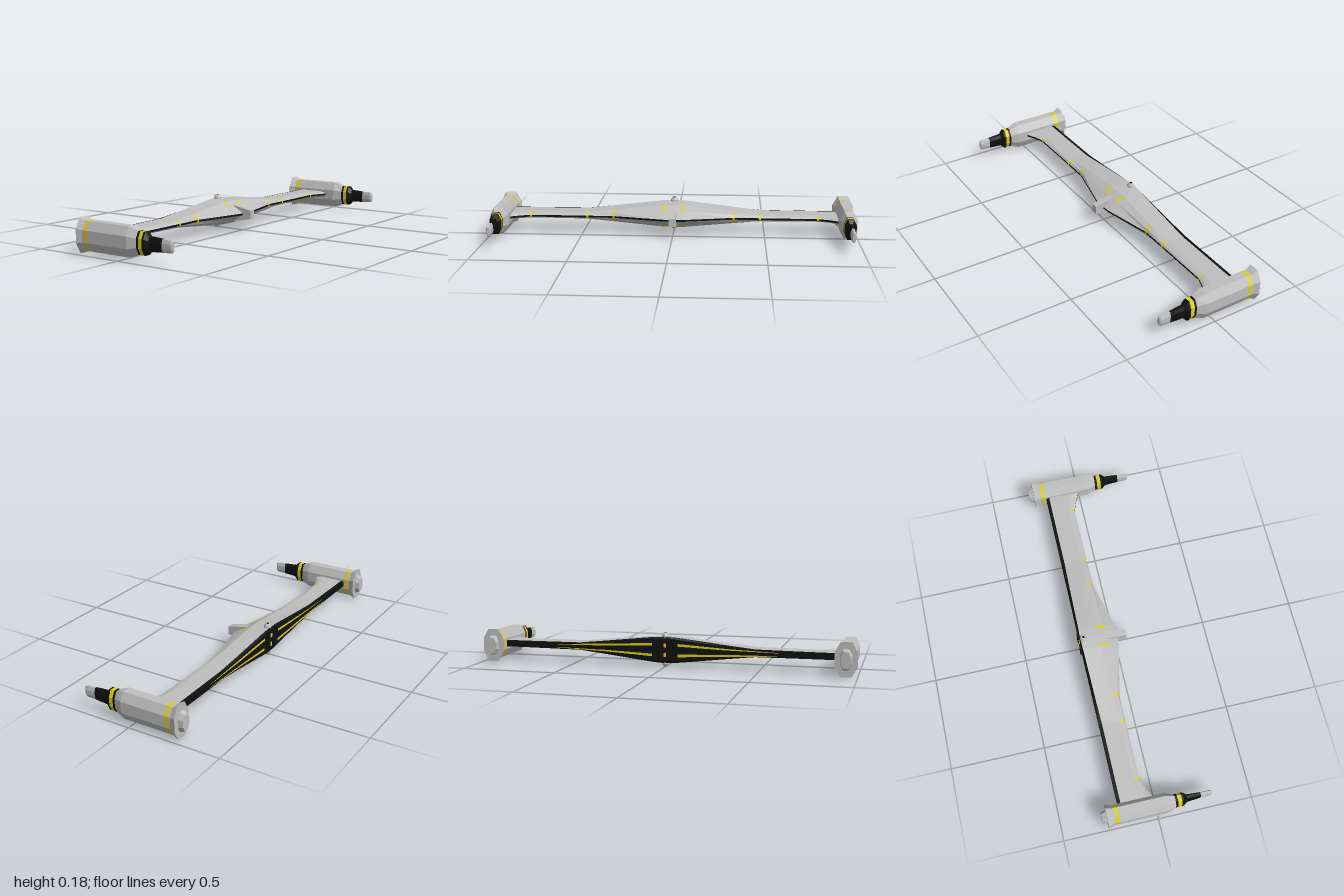
import * as THREE from 'three';

const MID = 0.09; // height of the horizontal symmetry plane
const mat = (name, color) => {
  const m = new THREE.MeshStandardMaterial({ color, flatShading: true });
  m.name = name;
  return m;
};

export function createModel() {
  const root = new THREE.Group();
  root.name = 'twinPodWing';
  const M = {
    grey: mat('hull grey', 0xbebebe),
    black: mat('trim black', 0x101010),
    yellow: mat('marking yellow', 0xdbd00e),
  };

  // Collects faces per colour and turns each colour into one mesh
  const builder = () => {
    const lists = { grey: [], black: [], yellow: [] };
    const face = (color, pts) => {
      for (let i = 1; i < pts.length - 1; i++)
        lists[color].push(...pts[0], ...pts[i], ...pts[i + 1]);
    };
    const strip = (a, b, colorOf) => a.forEach((p, i) => {
      const j = (i + 1) % a.length;
      face(colorOf(i), [p, a[j], b[j], b[i]]);
    });
    const finish = (name) => {
      const g = new THREE.Group();
      g.name = name;
      for (const c in lists) {
        if (!lists[c].length) continue;
        const geo = new THREE.BufferGeometry();
        geo.setAttribute('position', new THREE.Float32BufferAttribute(lists[c], 3));
        geo.computeVertexNormals();
        const mesh = new THREE.Mesh(geo, M[c]);
        mesh.name = `${name} ${c}`;
        g.add(mesh);
      }
      return g;
    };
    return { face, strip, finish };
  };

  // End pods: elongated octagons lofted from back to front (z, half width, half height, colour)
  const podSections = [
    [-0.288, 0.025, 0.042, 'grey'], [-0.262, 0.03, 0.053, 'grey'],
    [-0.262, 0.057, 0.088, 'grey'], [-0.232, 0.047, 0.073, 'grey'],
    [-0.22, 0.047, 0.073, 'yellow'], [-0.202, 0.047, 0.073, 'grey'],
    [0.048, 0.047, 0.073, 'grey'], [0.095, 0.031, 0.055, 'black'],
    [0.107, 0.031, 0.055, 'yellow'], [0.128, 0.031, 0.055, 'black'],
    [0.138, 0.031, 0.055, 'black'], [0.157, 0.017, 0.035, 'black'],
    [0.23, 0.012, 0.031, 'grey'], [0.282, 0.012, 0.029, 'grey'],
    [0.29, 0.007, 0.023, 'grey'],
  ];
  const octagon = ([z, w, h]) =>
    [[1, -0.41], [1, 0.41], [0.5, 1], [-0.5, 1], [-1, 0.41], [-1, -0.41], [-0.5, -1], [0.5, -1]]
      .map(([x, y]) => [x * w, y * h, z]);
  for (const side of [-1, 1]) {
    const b = builder();
    const rings = podSections.map(octagon);
    for (let k = 0; k < rings.length - 1; k++) b.strip(rings[k], rings[k + 1], () => podSections[k][3]);
    b.face('grey', [...rings[0]].reverse());
    b.face('grey', rings[rings.length - 1]);
    const pod = b.finish(side > 0 ? 'leftPod' : 'rightPod');
    pod.position.set(side * 0.943, MID, 0);
    root.add(pod);
  }

  // Wing stations: x, three half heights, then z of rear lip, shoulder, lower shoulder, front edge
  const stations = [
    [0, 0.07, 0.062, 0.04, -0.19, -0.09, -0.045, 0.015],
    [0.06, 0.067, 0.06, 0.038, -0.188, -0.09, -0.045, 0.01],
    [0.33, 0.036, 0.033, 0.02, -0.182, -0.085, -0.06, -0.052],
    [0.475, 0.02, 0.019, 0.014, -0.178, -0.085, -0.062, -0.053],
    [0.79, 0.018, 0.018, 0.012, -0.178, -0.085, -0.065, -0.053],
    [0.85, 0.018, 0.018, 0.012, -0.178, -0.07, -0.043, -0.032],
    [0.93, 0.018, 0.018, 0.012, -0.178, -0.03, 0.0, 0.01],
  ];
  const stationAt = (x) => {
    const ax = Math.abs(x);
    let k = 0;
    while (k < stations.length - 2 && stations[k + 1][0] < ax) k++;
    const [p, q] = [stations[k], stations[k + 1]];
    const t = (ax - p[0]) / (q[0] - p[0]);
    return p.map((v, i) => v + (q[i] - v) * t);
  };
  const wingRing = (x) => {
    const [, h, h1, h2, zt, z1, z2, zf] = stationAt(x);
    const top = [[h * 0.85, -0.195], [h, zt], [h1, z1], [h2, z2], [0.005, zf]];
    const bottom = top.map(([y, z]) => [-y, z]).reverse();
    return [...top, ...bottom].map(([y, z]) => [x, MID + y, z]);
  };

  // Yellow bands wrap the leading edge at these positions (x, half width)
  const bands = [[0.052, 0.008], [0.33, 0.006], [0.475, 0.006], [0.79, 0.005]];
  const half = [0.85, 0.93];
  for (const [c, w] of bands) half.push(c - w, c + w);
  half.sort((a, b) => a - b);
  const xs = [...half.map((x) => -x).reverse(), 0, ...half];
  const wing = builder();
  for (let k = 0; k < xs.length - 1; k++) {
    const mid = Math.abs(xs[k] + xs[k + 1]) / 2;
    const band = bands.find(([c, w]) => Math.abs(mid - c) < w);
    wing.strip(wingRing(xs[k]), wingRing(xs[k + 1]), (i) => {
      if (i === 0 || i >= 8) return 'black';            // rear face
      if (band && (i === 2 || i === 6)) return 'yellow'; // shoulder bands
      if (band && band[0] > 0.1 && i > 2 && i < 6) return 'yellow';
      return i === 4 ? 'black' : 'grey';                 // seam along the front edge
    });
  }
  root.add(wing.finish('wing'));

  // Tapering yellow stripes on the black rear face
  const stripes = builder();
  for (const sx of [-1, 1]) for (const f of [-0.5, 0.5]) {
    const at = (x, dy) => [sx * x, MID + stationAt(x)[1] * 0.85 * f + dy, -0.197];
    const pts = [at(0.07, 0.007), at(0.33, 0.004), at(0.6, 0.001), at(0.6, -0.001), at(0.33, -0.004), at(0.07, -0.007)];
    stripes.face('yellow', sx > 0 ? pts : pts.reverse());
  }
  root.add(stripes.finish('rearStripes'));

  const box = (name, m, size, pos) => {
    const mesh = new THREE.Mesh(new THREE.BoxGeometry(...size), m);
    mesh.name = name;
    mesh.position.set(...pos);
    root.add(mesh);
  };
  // Central rear grille
  for (const s of [-1, 1]) {
    box('rearGrilleBlock', M.black, [0.028, 0.1, 0.012], [s * 0.034, MID, -0.196]);
    box('rearGrilleBar', M.yellow, [0.014, 0.02, 0.006], [0, MID + s * 0.025, -0.196]);
  }

  // Front nub, tapering towards its nose
  const nubGeo = new THREE.BoxGeometry(0.042, 0.09, 0.11);
  const p = nubGeo.attributes.position;
  for (let i = 0; i < p.count; i++) if (p.getZ(i) > 0) p.setXY(i, p.getX(i) * 0.85, p.getY(i) * 0.5);
  nubGeo.computeVertexNormals();
  const nub = new THREE.Mesh(nubGeo, M.grey);
  nub.name = 'frontNub';
  nub.position.set(0, MID, 0.006);
  root.add(nub);

  // Short posts above and below the centre
  for (const s of [-1, 1]) {
    const post = new THREE.Group();
    post.name = s > 0 ? 'topPost' : 'bottomPost';
    const add = (r0, r1, h, y, m, name) => {
      const mesh = new THREE.Mesh(new THREE.CylinderGeometry(r1, r0, h, 8), m);
      mesh.name = name;
      mesh.position.y = y;
      post.add(mesh);
    };
    add(0.02, 0.02, 0.03, 0.06, M.grey, 'postBase');
    add(0.02, 0.013, 0.014, 0.082, M.grey, 'postCap');
    add(0.007, 0.007, 0.001, 0.0895, M.black, 'postHole');
    post.position.set(0, MID, -0.173);
    if (s < 0) post.rotation.z = Math.PI;
    root.add(post);
  }
  return root;
}
